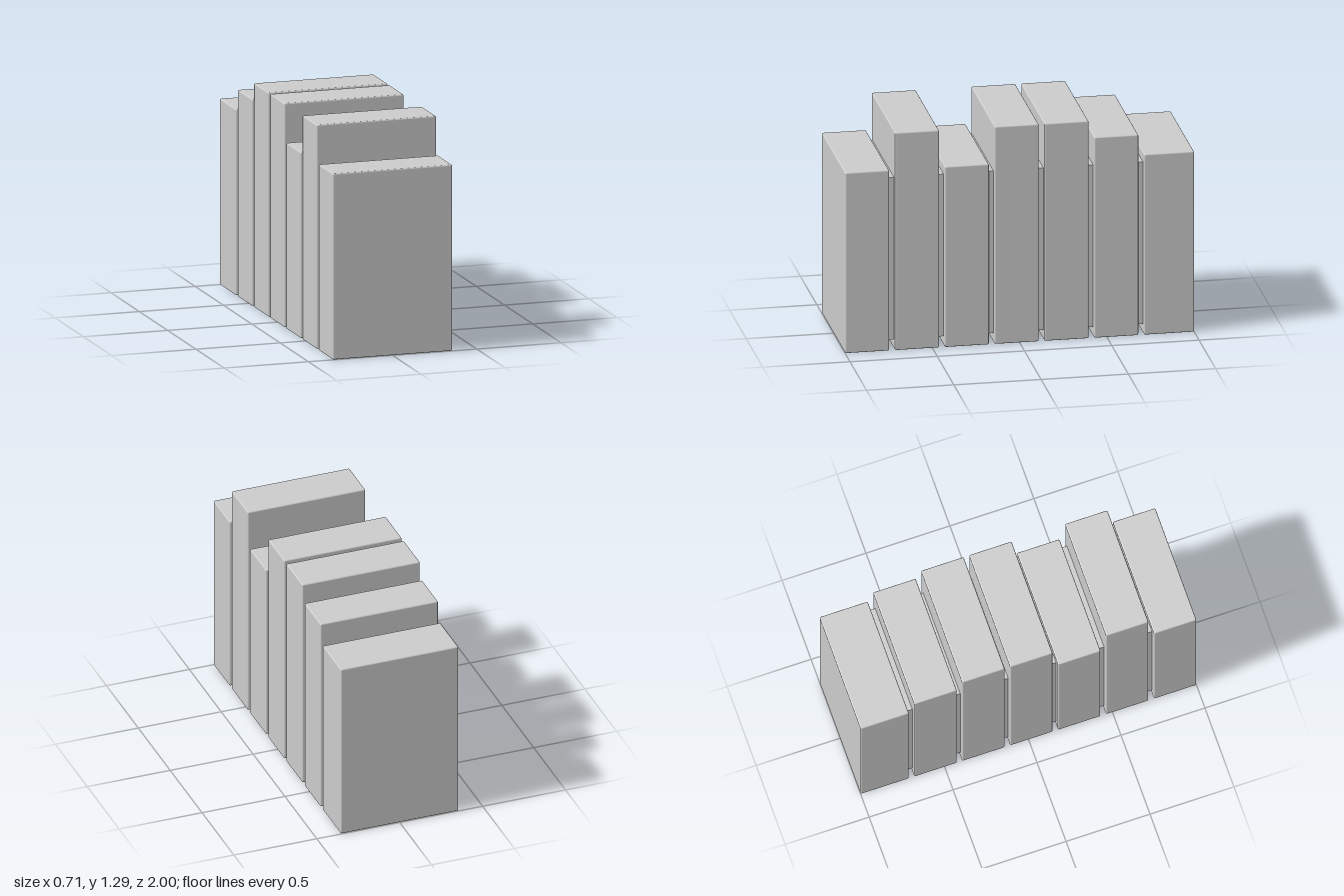
import * as THREE from 'three';
import { RoundedBoxGeometry } from 'three/addons/geometries/RoundedBoxGeometry.js';

export function createModel() {
  const model = new THREE.Group();
  model.name = 'slabRow';
  const material = new THREE.MeshStandardMaterial({ color: 0xcccccc });
  const width = 0.71, pitch = 0.2855, thickness = 0.253;

  // Upright slabs from front to back, the rearmost one thicker
  const heights = [1.075, 1.295, 1.075, 1.295, 1.295, 1.195, 1.075];
  heights.forEach((height, i) => {
    const front = 1 - i * pitch;
    const back = i === heights.length - 1 ? -1 : front - thickness;
    const slab = new THREE.Mesh(new RoundedBoxGeometry(width, height, front - back, 2, 0.008), material);
    slab.name = `slab${i + 1}`;
    slab.position.set(0, height / 2, (front + back) / 2);
    model.add(slab);

    // Recessed neck joining this slab to the next
    if (i < heights.length - 1) {
      const gap = pitch - thickness;
      const neck = new THREE.Mesh(new THREE.BoxGeometry(0.64, 0.965, gap + 0.004), material);
      neck.name = `neck${i + 1}`;
      neck.position.set(0, 0.5375, back - gap / 2);
      model.add(neck);
    }
  });
  return model;
}
